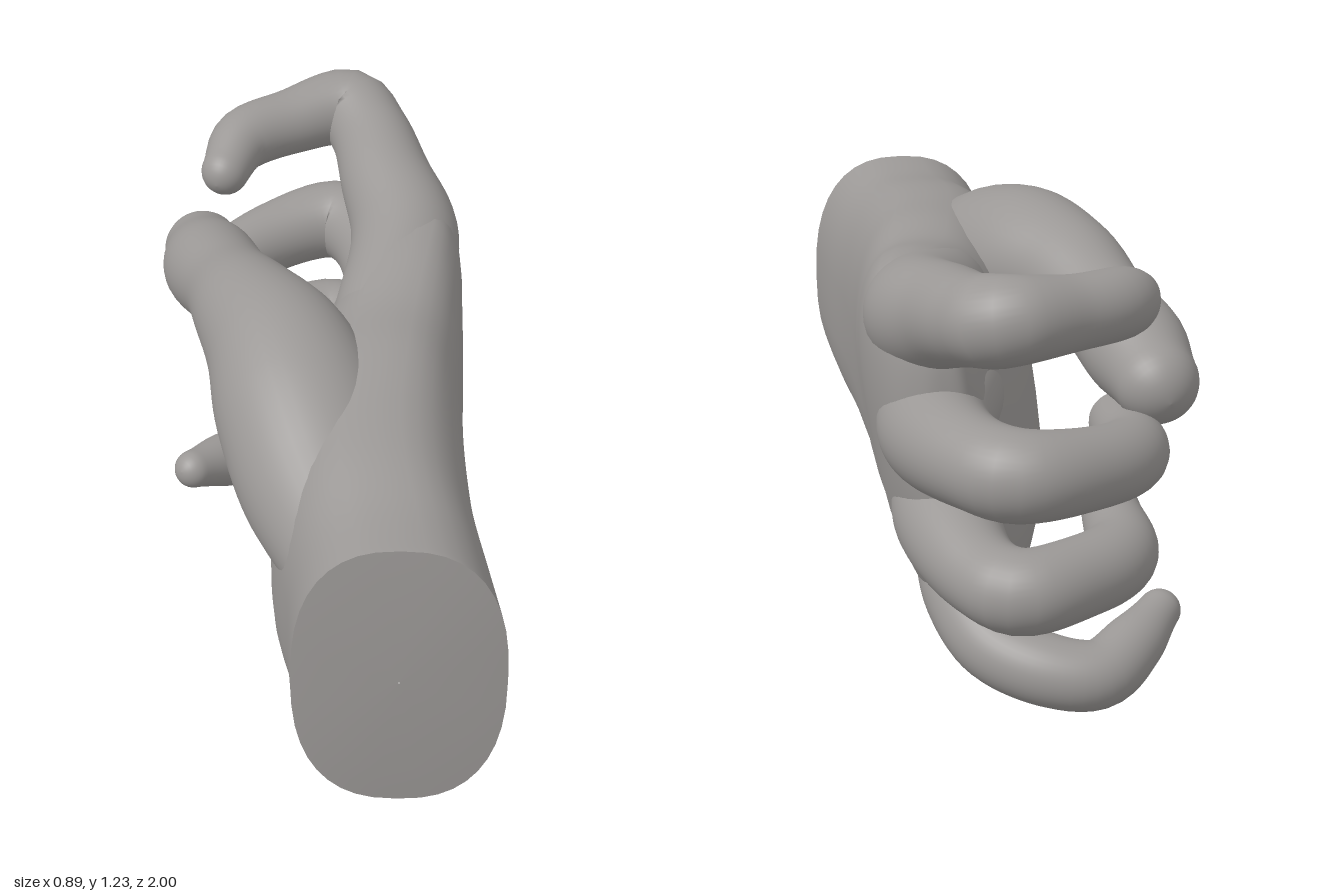
import * as THREE from 'three';

const SIDES = 40;

// Smooth interpolation through rows of numbers, t from 0 to 1
function sample(rows, t) {
  const last = rows.length - 1;
  const i = Math.min(Math.floor(t * last), last - 1);
  const f = t * last - i;
  const row = (k) => rows[Math.max(0, Math.min(last, k))];
  return row(i).map((b, k) => {
    const a = row(i - 1)[k], c = row(i + 1)[k], d = row(i + 2)[k];
    return b + 0.5 * f * (c - a + f * (2 * a - 5 * b + 4 * c - d + f * (3 * (b - c) + d - a)));
  });
}

// Skin over closed rings of points
function skin(rings) {
  const index = [];
  for (let i = 0; i < rings.length - 1; i++) {
    for (let j = 0; j < SIDES; j++) {
      const a = i * SIDES + j, b = i * SIDES + ((j + 1) % SIDES);
      index.push(a, b, a + SIDES, b, b + SIDES, a + SIDES);
    }
  }
  const geometry = new THREE.BufferGeometry().setFromPoints(rings.flat());
  geometry.setIndex(index);
  geometry.computeVertexNormals();
  return geometry;
}

const angles = Array.from({ length: SIDES }, (_, j) => (j / SIDES) * Math.PI * 2);

// Rounded-box hand section; shear leans the little-finger side towards the palm
function handRing([z, cx, cy, rx, ry, shear, lean], scale = 1, dz = 0) {
  const power = (v) => Math.sign(v) * Math.pow(Math.abs(v), 2 / 2.5);
  return angles.map((a) => {
    const y = -ry * power(Math.sin(a)) * scale;
    const x = rx * power(Math.cos(a)) * scale + shear * y;
    return new THREE.Vector3(cx + x, cy + y, z + dz - lean * y);
  });
}

// Bent tapering digit with a domed tip; rows are x, y, z, radius
function digit(rows) {
  const curve = new THREE.CatmullRomCurve3(rows.map(([x, y, z]) => new THREE.Vector3(x, y, z)));
  const steps = 48;
  const { tangents, normals, binormals } = curve.computeFrenetFrames(steps);
  const ring = (i, centre, radius) => angles.map((a) => centre.clone()
    .addScaledVector(normals[i], radius * Math.cos(a))
    .addScaledVector(binormals[i], radius * Math.sin(a)));
  const rings = [];
  let radius, end;
  for (let i = 0; i <= steps; i++) {
    const u = i / steps;
    radius = sample(rows, curve.getUtoTmapping(u))[3];
    end = curve.getPointAt(u);
    rings.push(ring(i, end, radius));
  }
  for (let k = 1; k <= 8; k++) {
    const a = Math.min((k / 8) * Math.PI / 2, 1.565);
    const centre = end.clone().addScaledVector(tangents[steps], radius * Math.sin(a));
    rings.push(ring(steps, centre, radius * Math.cos(a)));
  }
  return skin(rings);
}

// Sections from the wrist to the knuckles: z, centre x, centre y, half width, half height, shear, lean
const palmSections = [
  [0.982, 0.19, 0.605, 0.255, 0.365, 0, 0.045],
  [0.8, 0.17, 0.595, 0.25, 0.375, 0, 0.02],
  [0.6, 0.135, 0.59, 0.25, 0.41, 0.02, 0],
  [0.4, 0.12, 0.585, 0.245, 0.435, 0.05, 0],
  [0.2, 0.115, 0.575, 0.235, 0.465, 0.1, 0],
  [0, 0.12, 0.57, 0.228, 0.47, 0.14, 0],
  [-0.2, 0.145, 0.59, 0.195, 0.49, 0.17, 0],
  [-0.35, 0.175, 0.61, 0.16, 0.475, 0.17, 0],
  [-0.47, 0.185, 0.665, 0.135, 0.395, 0.14, 0],
  [-0.56, 0.18, 0.7, 0.105, 0.31, 0.1, 0],
  [-0.61, 0.17, 0.7, 0.055, 0.23, 0.05, 0],
  [-0.62, 0.17, 0.7, 0.003, 0.01, 0, 0],
];

const digits = {
  thumb: [
    [0.1, 0.71, 0.74, 0.16], [0.01, 0.78, 0.46, 0.21], [-0.055, 0.87, 0.26, 0.215],
    [-0.11, 0.93, 0.1, 0.19], [-0.19, 0.945, -0.07, 0.15], [-0.25, 0.915, -0.24, 0.125],
    [-0.31, 0.87, -0.42, 0.13], [-0.34, 0.84, -0.56, 0.105],
  ],
  indexFinger: [
    [0.16, 0.9, -0.08, 0.14], [0.215, 0.975, -0.4, 0.145], [0.165, 1.04, -0.6, 0.125],
    [0.12, 1.09, -0.77, 0.11], [0.06, 1.12, -0.865, 0.108], [-0.1, 1.11, -0.8, 0.09],
    [-0.23, 1.1, -0.71, 0.085], [-0.275, 1.07, -0.59, 0.065],
  ],
  middleFinger: [
    [0.15, 0.7, -0.25, 0.15], [0.195, 0.715, -0.52, 0.14], [0.125, 0.74, -0.78, 0.115],
    [0.03, 0.745, -0.885, 0.112], [-0.13, 0.73, -0.83, 0.1],
    [-0.26, 0.71, -0.7, 0.092], [-0.265, 0.695, -0.46, 0.075],
  ],
  ringFinger: [
    [0.12, 0.5, -0.25, 0.15], [0.165, 0.475, -0.5, 0.135], [0.105, 0.44, -0.76, 0.105],
    [0.02, 0.435, -0.86, 0.105], [-0.12, 0.435, -0.8, 0.1],
    [-0.24, 0.435, -0.68, 0.095], [-0.25, 0.45, -0.46, 0.075],
  ],
  littleFinger: [
    [0.08, 0.3, -0.12, 0.15], [0.1, 0.205, -0.39, 0.12], [0.05, 0.135, -0.54, 0.098],
    [-0.08, 0.1, -0.63, 0.092], [-0.2, 0.09, -0.64, 0.088],
    [-0.3, 0.125, -0.55, 0.078], [-0.38, 0.165, -0.45, 0.055],
  ],
};

export function createModel() {
  const hand = new THREE.Group();
  hand.name = 'hand';
  const clay = new THREE.MeshStandardMaterial({ color: 0x9b9896 });
  clay.name = 'clay grey';
  const add = (name, geometry) => {
    const mesh = new THREE.Mesh(geometry, clay);
    mesh.name = name;
    hand.add(mesh);
  };

  // Palm and back of the hand
  const rings = [];
  for (let i = 0; i <= 66; i++) rings.push(handRing(sample(palmSections, i / 66)));
  add('palm', skin(rings));

  // Shallow dome closing the wrist
  const dome = [0.005, 0.25, 0.5, 0.75, 0.9, 1];
  add('wristEnd', skin(dome.map((s) => handRing(palmSections[0], s, 0.014 * (1 - s * s)))));

  // Thumb and curled fingers
  for (const [name, rows] of Object.entries(digits)) add(name, digit(rows));
  return hand;
}
